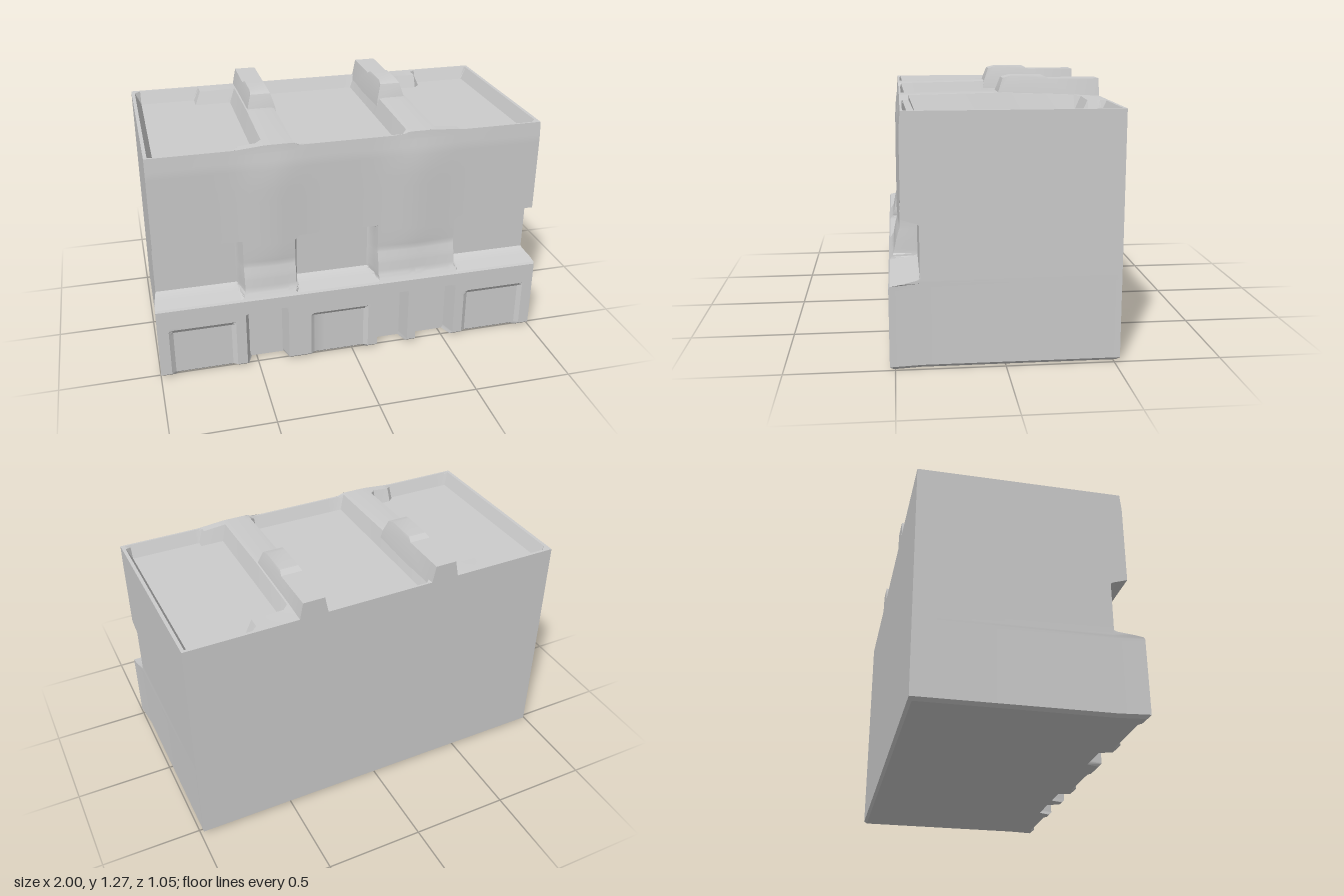
import * as THREE from 'three';
import { toCreasedNormals } from 'three/addons/utils/BufferGeometryUtils.js';

const W = 0.985, BACK = -0.53, FRONT = 0.46, TOP = 1.165;
const CHAMFER = 0.015;
const clamp = (t) => Math.min(1, Math.max(0, t));
const lerp = THREE.MathUtils.lerp;
const material = new THREE.MeshStandardMaterial({ color: 0xcccccc, side: THREE.DoubleSide });

// rectangles are [x0, x1, y0, y1]
const windows = [[-1.1, -0.55, 0.39, 0.69], [-0.29, 0.14, 0.39, 0.69], [0.55, 1.1, 0.39, 0.69]];
const niches = [[-0.55, -0.335, -0.5, 0.315], [0.13, 0.295, -0.5, 0.315], [0.34, 0.55, -0.5, 0.315]];
const panels = [[-0.93, -0.6, -0.5, 0.27], [-0.22, 0.08, -0.5, 0.26], [0.6, 0.93, -0.5, 0.27]];

// distance inside a rectangle, negative outside
const inside = (x, y, [x0, x1, y0, y1]) => Math.min(x - x0, x1 - x, y - y0, y1 - y);

// piecewise linear curve through [input, output] pairs
function curve(t, pts) {
  for (let i = 1; i < pts.length; i++) {
    const [a, va] = pts[i - 1], [b, vb] = pts[i];
    if (t <= b) return lerp(va, vb, clamp((t - a) / (b - a)));
  }
  return pts[pts.length - 1][1];
}

// depth of the front wall
const wallProfile = [[0, 0.508], [CHAMFER, 0.525], [0.38, 0.525], [0.42, 0.5], [0.49, 0.485], [0.55, 0.467], [1.08, 0.467], [TOP, FRONT]];
function frontZ(x, y) {
  let z = curve(y, wallProfile);
  const rib = Math.max(Math.exp(-(((x + 0.4) / 0.14) ** 2)), Math.exp(-(((x - 0.33) / 0.16) ** 2)));
  z += 0.014 * rib * curve(y, [[0.4, 0], [0.6, 1], [1.0, 1], [TOP, 0]]);
  for (const r of panels) z -= 0.015 * clamp(inside(x, y, r) / 0.02);
  for (const r of niches) z = lerp(z, Math.min(z, 0.445), clamp(inside(x, y, r) / 0.02));
  for (const r of windows) z = lerp(z, 0.385, clamp(inside(x, y, r) / 0.025));
  return z;
}

// height of the top, with three sunken trays
function topY(x, z) {
  const ax = Math.abs(x);
  const side = Math.min(inside(ax, z, [0.43, 0.968, -0.515, 0.45]),
    Math.max(ax - 0.62, z + 0.43), Math.max(ax - 0.55, 0.415 - z));
  const mid = inside(ax, z, [-1, 0.285, -0.52, 0.45]);
  const ridge = curve(ax, [[0.26, 0], [0.29, 1], [0.42, 1], [0.57, 0]]);
  const rim = TOP + ridge * curve(z, [[BACK, 0], [-0.35, 0.01], [-0.02, 0.022], [FRONT, 0.013]]);
  return lerp(rim, 1.1, clamp(Math.max(side, mid) / 0.03));
}

// side walls flare towards the front of the plinth and tuck in at the floor
function flared(x, y, z) {
  const flare = y < 0.42 ? 0.015 * clamp((z - 0.38) / 0.1) : 0;
  return x + (x / W) * (flare - CHAMFER * clamp(1 - y / CHAMFER));
}
const backZ = (y) => BACK + CHAMFER * clamp(1 - y / CHAMFER);

// grid lines at feature edges, with an even fill between them
function lines(min, max, step, edges, bevel) {
  const set = new Set([min, max]);
  const add = (v) => { if (v > min && v < max) set.add(+v.toFixed(3)); };
  for (let v = min + step; v < max - 0.005; v += step) add(v);
  for (const e of edges) for (const s of [-bevel, 0, bevel]) add(e + s);
  return [...set].sort((a, b) => a - b);
}

// surface over a grid of lines; at(u, v) returns [x, y, z]
function sheet(us, vs, at) {
  const pos = [], index = [], n = us.length;
  for (const v of vs) for (const u of us) pos.push(...at(u, v));
  for (let j = 0; j < vs.length - 1; j++) {
    for (let i = 0; i < n - 1; i++) {
      const a = j * n + i;
      index.push(a, a + 1, a + n + 1, a, a + n + 1, a + n);
    }
  }
  const g = new THREE.BufferGeometry();
  g.setAttribute('position', new THREE.Float32BufferAttribute(pos, 3));
  g.setIndex(index);
  return toCreasedNormals(g, 0.5);
}

const toShape = (pts) => new THREE.Shape(pts.map(([a, b]) => new THREE.Vector2(a, b)));

export function createModel() {
  const group = new THREE.Group();
  const add = (name, geometry) => {
    const mesh = new THREE.Mesh(geometry, material);
    mesh.name = name;
    group.add(mesh);
  };

  const rects = [...windows, ...niches, ...panels];
  const xs = lines(-W, W, 0.06, rects.flatMap((r) => [r[0], r[1]]), 0.022);
  const ys = lines(0, TOP, 0.06, [...rects.flatMap((r) => [r[2], r[3]]), ...wallProfile.map((p) => p[0])], 0.022);
  const topXs = lines(-W, W, 0.1, [0.968, 0.62, 0.55, 0.43, 0.285].flatMap((v) => [-v, v]), 0.03);
  const topZs = lines(BACK, FRONT, 0.1, [-0.52, -0.515, -0.43, -0.02, 0.415, 0.45], 0.03);

  // front wall with windows, niches and plinth
  add('frontWall', sheet(xs, ys, (x, y) => {
    const z = frontZ(x, y);
    return [flared(x, y, z), y === TOP ? topY(x, FRONT) : y, z];
  }));

  // top with trays
  add('trayTop', sheet(topXs, topZs.slice().reverse(), (x, z) => [x, topY(x, z), z]));

  // side walls run from the edge of the front wall to the back
  for (const s of [1, -1]) {
    const columns = s > 0 ? [0, 1, 2] : [2, 1, 0];
    add(s > 0 ? 'leftWall' : 'rightWall', sheet(columns, ys, (column, y) => {
      const z = [frontZ(s * W, y), 0.38, backZ(y)][column];
      return [flared(s * W, y, z), y, z];
    }));
  }

  // back wall, meeting the rear edge of the top
  add('backWall', sheet(topXs.slice().reverse(), [0, CHAMFER, TOP], (x, y) =>
    [flared(x, y, BACK), y === TOP ? topY(x, BACK) : y, backZ(y)]));

  // underside follows the niches
  const foot = xs.map((x) => [flared(x, 0, frontZ(x, 0)), frontZ(x, 0)]);
  const inset = W - CHAMFER;
  add('underside', new THREE.ShapeGeometry(toShape(
    [[inset, 0.38], [inset, backZ(0)], [-inset, backZ(0)], [-inset, 0.38], ...foot])).rotateX(Math.PI / 2));

  // tapered rails on the rear half of the top
  const railProfile = [[-0.01, 1.1], [-0.025, 1.187], [-0.05, 1.255], [-0.09, 1.266], [-0.25, 1.266], [-0.28, 1.25], [BACK, 1.25], [BACK, 1.1]];
  for (const s of [1, -1]) {
    const g = new THREE.ExtrudeGeometry(toShape(railProfile.map(([z, y]) => [-z, y])), { depth: 2, bevelEnabled: false });
    g.translate(0, 0, -1).rotateY(Math.PI / 2);
    const p = g.attributes.position;
    for (let i = 0; i < p.count; i++) {
      const half = curve(p.getY(i), [[1.1, 0.085], [1.19, 0.072], [1.25, 0.055], [1.27, 0.045]]);
      p.setX(i, s * 0.35 + Math.sign(p.getX(i)) * half);
    }
    add(s > 0 ? 'leftRail' : 'rightRail', toCreasedNormals(g, 0.4));
  }
  return group;
}
